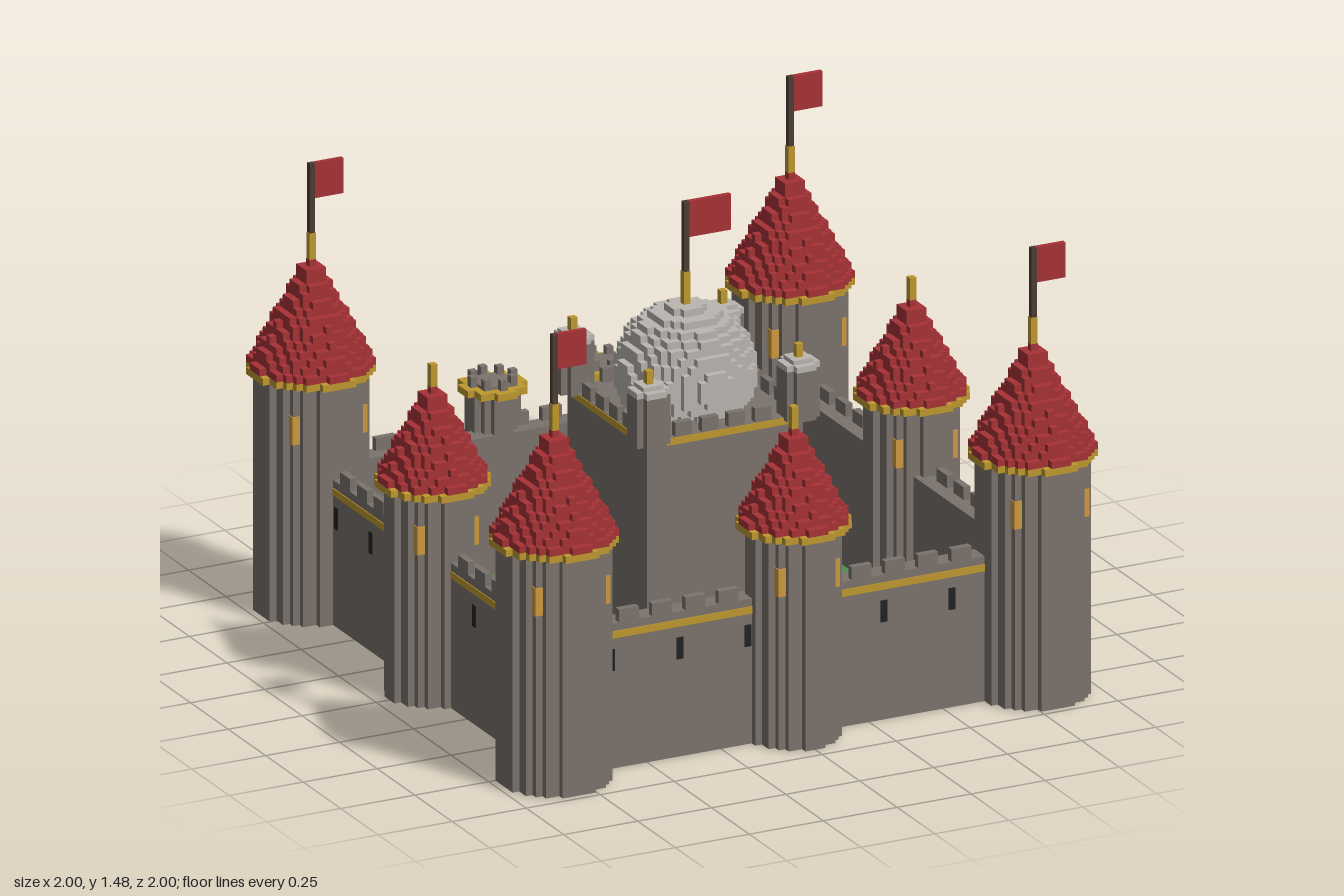
import * as THREE from 'three';
import { mergeGeometries } from 'three/addons/utils/BufferGeometryUtils.js';

const V = 2 / 89; // one block of the grid

const mat = (name, color) => {
  const m = new THREE.MeshStandardMaterial({ color });
  m.name = name;
  return m;
};
const stone = mat('stone', 0x7b736d);
const roofRed = mat('roof red', 0xa83236);
const gold = mat('gold trim', 0xbf9a30);
const glow = mat('window amber', 0xcf9a3e);
const grass = mat('grass green', 0x56894a);
const pale = mat('pale stone', 0xbab7b2);
const wood = mat('door wood', 0x633f24);
const dark = mat('slit black', 0x1f2122);
const poleBrown = mat('pole brown', 0x4c3c32);

// Box geometry from its bounds
function span(x0, x1, y0, y1, z0, z1) {
  return new THREE.BoxGeometry(x1 - x0, y1 - y0, z1 - z0)
    .translate((x0 + x1) / 2, (y0 + y1) / 2, (z0 + z1) / 2);
}

// Stair-stepped disc of radius r blocks, from height y0 to y1
function disc(r, y0, y1) {
  const n = Math.floor(r), right = [];
  for (let i = -n; i <= n; i++) {
    const w = (Math.floor(Math.sqrt(r * r - i * i)) + 0.5) * V;
    for (const e of [-0.5, 0.5]) {
      const p = new THREE.Vector2(w, (i + e) * V), last = right[right.length - 1];
      if (!last || !last.equals(p)) right.push(p);
    }
  }
  const left = right.map(p => new THREE.Vector2(-p.x, p.y)).reverse();
  return new THREE.ExtrudeGeometry(new THREE.Shape([...right, ...left]), { depth: y1 - y0, bevelEnabled: false })
    .rotateX(-Math.PI / 2).translate(0, y0, 0);
}

function add(parent, name, material, ...geos) {
  const flat = geos.map(g => (g.index ? g.toNonIndexed() : g));
  const mesh = new THREE.Mesh(flat.length > 1 ? mergeGeometries(flat) : flat[0], material);
  mesh.name = name;
  parent.add(mesh);
  return mesh;
}

function subgroup(parent, name, x = 0, z = 0) {
  const g = new THREE.Group();
  g.name = name;
  g.position.set(x, 0, z);
  parent.add(g);
  return g;
}

// Pole with a flag flying towards +x
function flagpole(g, y0, yGold, yTop, w, h) {
  add(g, 'finial', gold, span(-0.011, 0.011, y0, yGold, -0.011, 0.011));
  add(g, 'flagpole', poleBrown, span(-0.009, 0.009, yGold, yTop, -0.009, 0.009));
  add(g, 'flag', roofRed, span(0.009, w, yTop - h, yTop, -0.008, 0.008));
}

// Round tower: body radius r, body height h and roof height n, all in blocks
function tower(root, name, x, z, r, h, n, win) {
  const g = subgroup(root, name, x, z);
  add(g, 'towerBody', stone, disc(r + 0.3, 0, h * V));
  add(g, 'roofTrim', gold, disc(r + 1.3, h * V, (h + 1) * V));
  const layers = [];
  for (let i = 0; i < n; i++) {
    const R = (r + 1.1) * (1 - i / n) + 0.4 * (i / n);
    layers.push(disc(R, (h + 1 + i) * V, (h + 2 + i) * V));
  }
  add(g, 'coneRoof', roofRed, ...layers);
  // Diagonal windows on the stepped corners
  const wins = [], s = V / 2 + 0.003;
  for (const a of [-win, win]) for (const b of [-win, win])
    wins.push(span(a * V - s, a * V + s, (h - 8) * V, (h - 4) * V, b * V - s, b * V + s));
  add(g, 'towerWindows', glow, ...wins);
  return g;
}

// Curtain wall facing +z; turned for the other sides
function wall(root, name, turn, isGate) {
  const g = subgroup(root, name);
  const L = 0.8, zi = 33.5 * V, zo = 36.5 * V, top = 0.468;
  add(g, 'wallBody', stone, span(-L, L, 0, top, zi, zo));
  const merlons = [];
  for (let i = -31; i <= 29; i += 5)
    merlons.push(span((i - 0.5) * V, (i + 2.5) * V, top, 0.509, zo - V, zo));
  add(g, 'merlons', stone, ...merlons);
  add(g, 'wallBand', gold, span(-L, L, 0.42, 0.443, zo - 0.005, zo + 0.003));
  const slits = [];
  for (const x of [-0.62, -0.39, -0.16, 0.07, 0.3, 0.53])
    if (!isGate || Math.abs(x) > 0.38) slits.push(span(x - 0.011, x + 0.011, 0.315, 0.385, zo - 0.005, zo + 0.002));
  add(g, 'arrowSlits', dark, ...slits);
  g.rotation.y = turn;
}

function keep(root) {
  const g = subgroup(root, 'keep', 0, 4 * V);
  const H = 0.264;
  add(g, 'keepBody', stone, span(-H, H, 0, 0.834, -H, H));
  const e = H + 0.003;
  add(g, 'keepBand', gold, span(-e, e, 0.81, 0.832, -e, e));
  // Parapet
  const merlons = [];
  for (let k = 0; k < 4; k++) for (let i = -7; i <= 5; i += 4)
    merlons.push(span((i - 0.5) * V, (i + 2) * V, 0.834, 0.878, H - V, H).rotateY(k * Math.PI / 2));
  add(g, 'keepMerlons', stone, ...merlons);
  // Stepped dome
  const layers = [];
  for (let i = -4; i <= 9; i++) layers.push(disc(Math.sqrt(9.35 ** 2 - i * i), (41 + i) * V, (42 + i) * V));
  add(g, 'dome', pale, ...layers);
  flagpole(g, 1.14, 1.25, 1.475, 0.15, 0.115);
  // Corner turrets
  for (const sx of [-1, 1]) for (const sz of [-1, 1]) {
    const t = subgroup(g, 'keepTurret', sx * 0.253, sz * 0.253);
    add(t, 'turretBody', stone, disc(2.3, 0.825, 0.985));
    add(t, 'turretCap', pale, disc(2.3, 0.985, 1.004), disc(1.5, 1.004, 1.018));
    add(t, 'turretSpike', gold, span(-0.011, 0.011, 1.018, 1.06, -0.011, 0.011));
  }
  // Lit windows facing the gate, with small side sills
  const wins = [-0.158, -0.053, 0.053, 0.158].flatMap(x => [
    span(x - 0.026, x + 0.026, 0.605, 0.695, -H - 0.004, -H + 0.004),
    span(x - 0.014, x + 0.014, 0.695, 0.715, -H - 0.004, -H + 0.004)]);
  add(g, 'keepWindows', glow, ...wins);
  add(g, 'sideSills', gold, ...[-1, 1].map(s => span(-0.011, 0.011, 0.605, 0.625, -0.011, 0.011).translate(s * 0.273, 0, -0.24)));
}

function gatehouse(root) {
  const g = subgroup(root, 'gatehouse');
  for (const s of [-1, 1]) {
    const t = subgroup(g, 'gateTurret', s * 8.2 * V, -37 * V);
    add(t, 'turretBody', stone, disc(3.3, 0, 26 * V));
    add(t, 'turretTrim', gold, disc(4.3, 26 * V, 27 * V));
    add(t, 'turretFloor', stone, disc(2.3, 27 * V, 27.4 * V));
    // Ring of eight merlons
    const merlons = [];
    for (let k = 0; k < 8; k++) {
      const x = Math.round(3 * Math.cos(k * Math.PI / 4)) * V, z = Math.round(3 * Math.sin(k * Math.PI / 4)) * V;
      merlons.push(span(x - V / 2, x + V / 2, 27 * V, 28.5 * V, z - V / 2, z + V / 2));
    }
    add(t, 'turretMerlons', stone, ...merlons);
    add(g, 'banner', roofRed, span(-0.05, 0.05, 0.23, 0.44, -0.842, -0.824).translate(s * 0.326, 0, 0));
  }
  // Arched door running through the wall
  const arch = new THREE.Shape();
  arch.moveTo(-0.1, 0.003).lineTo(0.1, 0.003).lineTo(0.1, 0.17);
  arch.absarc(0, 0.17, 0.1, 0, Math.PI, false);
  add(g, 'gateDoor', wood, new THREE.ExtrudeGeometry(arch, { depth: 0.085, bevelEnabled: false, curveSegments: 8 }).translate(0, 0, -0.828));
  add(g, 'gateLintel', gold, span(-0.11, 0.11, 0.27, 0.293, -0.843, -0.815));
}

// Lawn, path and pale paving stones
function courtyard(root) {
  const g = subgroup(root, 'courtyard');
  add(g, 'lawn', grass, span(-0.76, 0.76, 0.004, V, -0.76, 0.76));
  add(g, 'path', stone, span(-4.5 * V, 4.5 * V, 0.003, V + 0.002, -0.755, -0.17));
  const stones = [[-0.02, -0.72, 0.045, 0.035], [-0.025, -0.6, 0.035, 0.045], [-0.045, -0.47, 0.055, 0.04],
    [0.08, -0.46, 0.02, 0.05], [-0.08, -0.31, 0.02, 0.05], [-0.02, -0.22, 0.03, 0.045], [0.092, -0.28, 0.01, 0.05], [-0.06, -0.235, 0.03, 0.03]];
  add(g, 'pavingStones', pale, ...stones.map(([x, z, rx, rz]) =>
    new THREE.CylinderGeometry(1, 1, V + 0.003, 8).scale(rx, 1, rz).translate(x, (V + 0.003) / 2 + 0.001, z)));
}

export function createModel() {
  const root = new THREE.Group();
  root.name = 'castle';
  const c = 36 * V;
  courtyard(root);
  ['frontWall', 'rightSideWall', 'backWall', 'leftSideWall'].forEach((n, k) => wall(root, n, k * Math.PI / 2, k === 2));
  // Corner towers with flags
  for (const sx of [-1, 1]) for (const sz of [-1, 1]) {
    const t = tower(root, 'cornerTower', sx * c, sz * c, 7, 34, 15, 5);
    flagpole(t, 50 * V, 1.208, 1.432, 0.106, 0.113);
  }
  // Smaller towers midway along three walls
  for (const [x, z] of [[-c, 0], [c, 0], [0, c]]) {
    const t = tower(root, 'midTower', x, z, 6, 30, 13, 4);
    add(t, 'finial', gold, span(-0.011, 0.011, 44 * V, 47.2 * V, -0.011, 0.011));
  }
  gatehouse(root);
  keep(root);
  return root;
}
